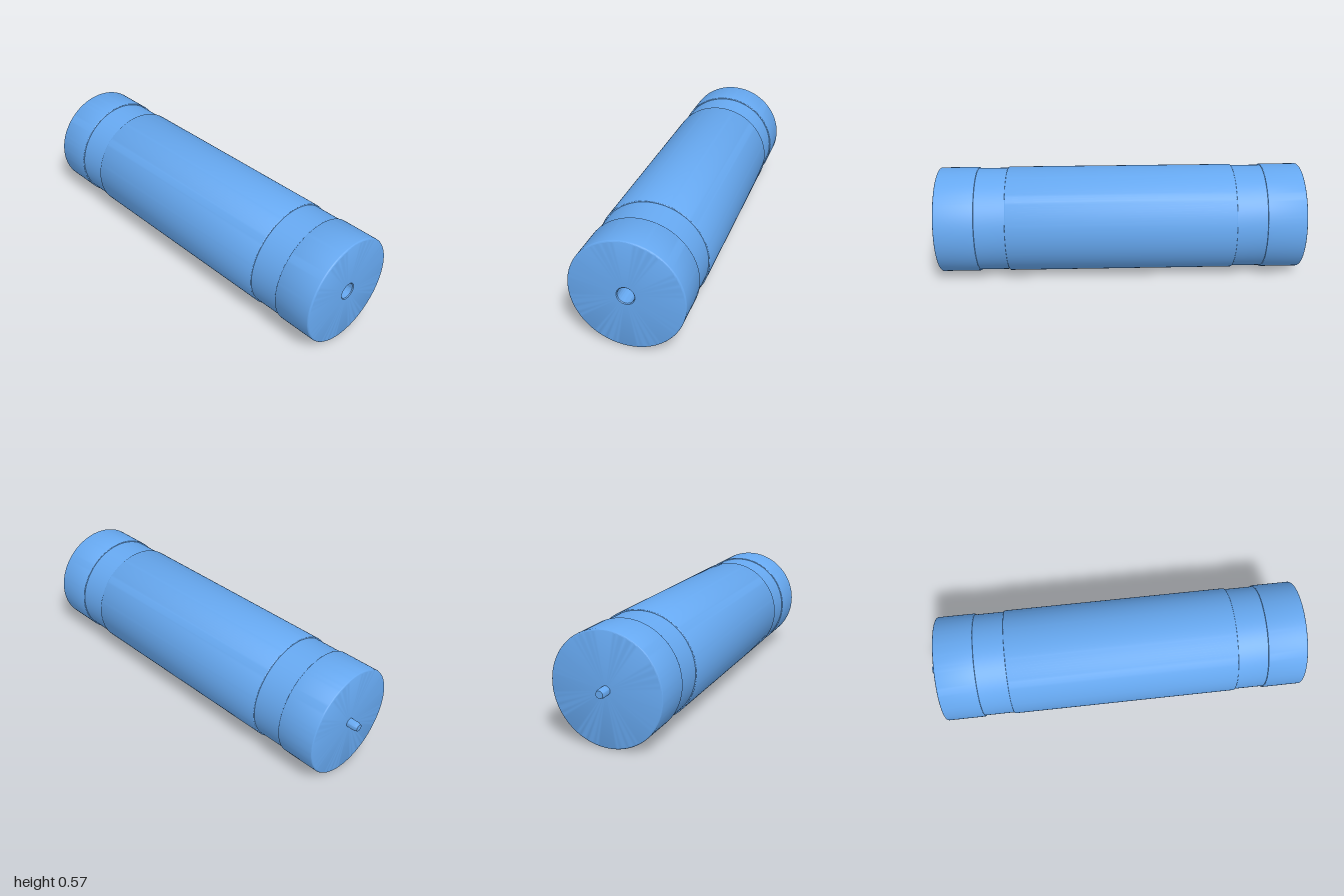
import * as THREE from 'three';
import { toCreasedNormals } from 'three/addons/utils/BufferGeometryUtils.js';

const R = 0.283;        // outer radius
const BAND = 0.277;     // radius of the two recessed bands
const FILLET = 0.009;
const HOLE = 0.041;
const material = new THREE.MeshStandardMaterial({ color: 0x66a8f0 });

// Revolve [radius, x] points, listed from -x to +x, around the x axis.
function turned(name, points, segments = 128) {
  const lathe = new THREE.LatheGeometry(points.map(([r, x]) => new THREE.Vector2(r, x)), segments);
  lathe.rotateZ(-Math.PI / 2);
  const mesh = new THREE.Mesh(toCreasedNormals(lathe, 0.5), material);
  mesh.name = name;
  return mesh;
}

// Quarter-round edge: from the flat face (a = 0) to the cylinder side (a = 90 degrees).
function fillet(faceX, dir, radius = R, size = FILLET, steps = 5) {
  return Array.from({ length: steps + 1 }, (_, i) => {
    const a = (i / steps) * Math.PI / 2;
    return [radius - size + size * Math.sin(a), faceX + dir * size * (1 - Math.cos(a))];
  });
}

export function createModel() {
  const model = new THREE.Group();
  model.name = 'roller';

  const body = new THREE.Group();
  body.name = 'body';
  body.position.y = R;
  model.add(body);

  // Main barrel, with softened shoulders dropping to the bands
  body.add(turned('barrel', [
    [BAND, -0.577], ...fillet(-0.577, 1, R, 0.005), ...fillet(0.63, -1, R, 0.005).reverse(), [BAND, 0.63],
  ]));

  // Recessed bands on both sides of the barrel
  body.add(turned('rightBand', [[BAND, -0.738], [BAND, -0.577]]));
  body.add(turned('leftBand', [[BAND, 0.63], [BAND, 0.79]]));

  // Solid end cap carrying the pin
  body.add(turned('rightCap', [
    [0, -0.943], ...fillet(-0.943, 1), ...fillet(-0.736, -1, R, 0.005).reverse(), [BAND, -0.736],
  ]));

  // End cap with a chamfered blind bore
  body.add(turned('leftCap', [
    [BAND, 0.788], ...fillet(0.788, 1, R, 0.005), ...fillet(0.997, -1).reverse(),
    [HOLE + 0.004, 0.997], [HOLE, 0.993], [HOLE, 0.8], [0, 0.8],
  ]));

  // Short drive pin with a chamfered tip
  body.add(turned('pin', [
    [0, -1], [0.018, -1], [0.023, -0.985], [0.023, -0.94],
  ], 48));

  return model;
}
